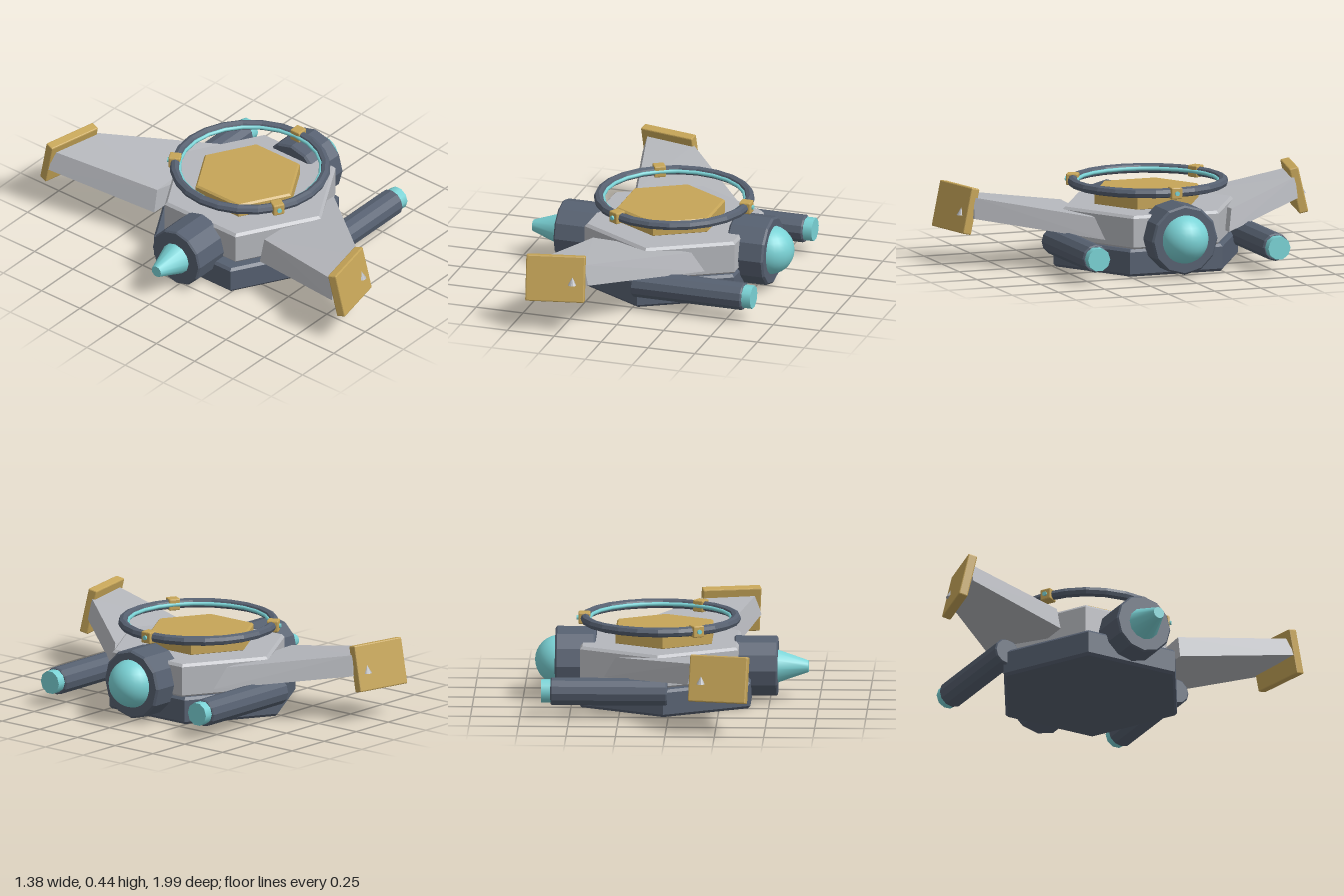
import * as THREE from 'three';
import { RoundedBoxGeometry } from 'three/addons/geometries/RoundedBoxGeometry.js';
import { ConvexGeometry } from 'three/addons/geometries/ConvexGeometry.js';

const material = (name, color, flatShading = true) =>
  Object.assign(new THREE.MeshStandardMaterial({ color, flatShading }), { name });

export function createModel() {
  const model = new THREE.Group();
  model.name = 'spacecraft';
  const slate = material('slate', 0x566070);
  const silver = material('silver', 0xb5b7bc);
  const gold = material('gold', 0xc6a558);
  const cyan = material('cyan', 0x7ad3d6, false);

  const add = (name, geometry, mat, x, y, z, parent = model) => {
    const mesh = new THREE.Mesh(geometry, mat);
    mesh.name = name;
    mesh.position.set(x, y, z);
    parent.add(mesh);
    return mesh;
  };

  // Prism with chamfered rims, standing on its base
  const prism = (r, h, sides, b) => new THREE.LatheGeometry(
    [[0, 0], [r - b, 0], [r, b], [r, h - b], [r - b, h], [0, h]]
      .map(([x, y]) => new THREE.Vector2(x, y)), sides);
  // The same prism lying along +x
  const barrel = (r, h, sides, b) => prism(r, h, sides, b).rotateZ(-Math.PI / 2);

  // Stacked hexagonal hull
  add('lowerHull', prism(0.5, 0.14, 6, 0.014), slate, 0.025, 0.005, 0);
  add('upperHull', prism(0.462, 0.175, 6, 0.014), silver, 0.055, 0.14, 0);
  add('deckPlate', prism(0.282, 0.08, 6, 0.01), gold, 0.035, 0.307, 0);

  // Nose pod with a domed sensor
  add('nosePod', barrel(0.178, 0.205, 12, 0.01), slate, 0.38, 0.198, 0);
  add('noseDome', new THREE.SphereGeometry(0.125, 24, 16), cyan, 0.565, 0.203, 0);

  // Tail engine with a tapering exhaust
  add('tailEngine', barrel(0.155, 0.22, 12, 0.008), slate, -0.54, 0.178, 0);
  add('tailExhaust', new THREE.CylinderGeometry(0.03, 0.088, 0.165, 12).rotateZ(Math.PI / 2),
    cyan, -0.6125, 0.176, 0);

  // Floating ring with three clips
  const ring = new THREE.Group();
  ring.name = 'haloRing';
  ring.position.set(0.055, 0.42, 0);
  model.add(ring);
  const hoop = (r, tube) => new THREE.TorusGeometry(r, tube, 8, 24).rotateX(Math.PI / 2);
  add('ringTube', hoop(0.383, 0.025), slate, 0, 0, 0, ring);
  add('ringLight', hoop(0.36, 0.01), cyan, 0, 0, 0, ring);
  for (let i = 0; i < 3; i++) {
    const clip = new THREE.Group();
    clip.name = 'ringClip';
    clip.rotation.y = i * Math.PI * 2 / 3;
    ring.add(clip);
    add('clipBlock', new RoundedBoxGeometry(0.06, 0.06, 0.06, 1, 0.006), gold, 0.385, 0, 0, clip);
    add('clipStud', new THREE.CylinderGeometry(0.012, 0.012, 0.01, 8).rotateZ(Math.PI / 2),
      cyan, 0.419, 0, 0, clip);
  }

  for (const s of [1, -1]) {
    const side = s > 0 ? 'left' : 'right';

    // Side cannon
    add(side + 'Cannon', barrel(0.071, 0.59, 12, 0.007), slate, 0.005, 0.135, s * 0.488);
    add(side + 'CannonTip', new THREE.CylinderGeometry(0.06, 0.06, 0.06, 10).rotateZ(Math.PI / 2),
      cyan, 0.612, 0.137, s * 0.488).material = cyan;

    // Raised swept wing: root then tip, bottom corners wider than top ones
    const corners = [
      [-0.29, 0.175, 0.345], [0.33, 0.18, 0.335], [-0.26, 0.295, 0.35], [0.27, 0.288, 0.37],
      [-0.425, 0.258, 0.925], [-0.11, 0.25, 0.875], [-0.395, 0.358, 0.915], [-0.135, 0.356, 0.87],
    ].map(([x, y, z]) => new THREE.Vector3(x, y, z * s));
    add(side + 'Wing', new ConvexGeometry(corners), silver, 0, 0, 0);

    // Canted fin on the wing tip, with a small stud
    const fin = add(side + 'Fin', new RoundedBoxGeometry(0.3, 0.237, 0.048, 1, 0.006), gold,
      -0.27, 0.287, s * 0.917);
    fin.rotation.set(-s * 0.225, s * 0.21, 0, 'YXZ');
    add(side + 'FinStud', new THREE.ConeGeometry(0.024, 0.04, 12), silver, -0.18, 0.283, s * 0.92);
  }
  return model;
}
